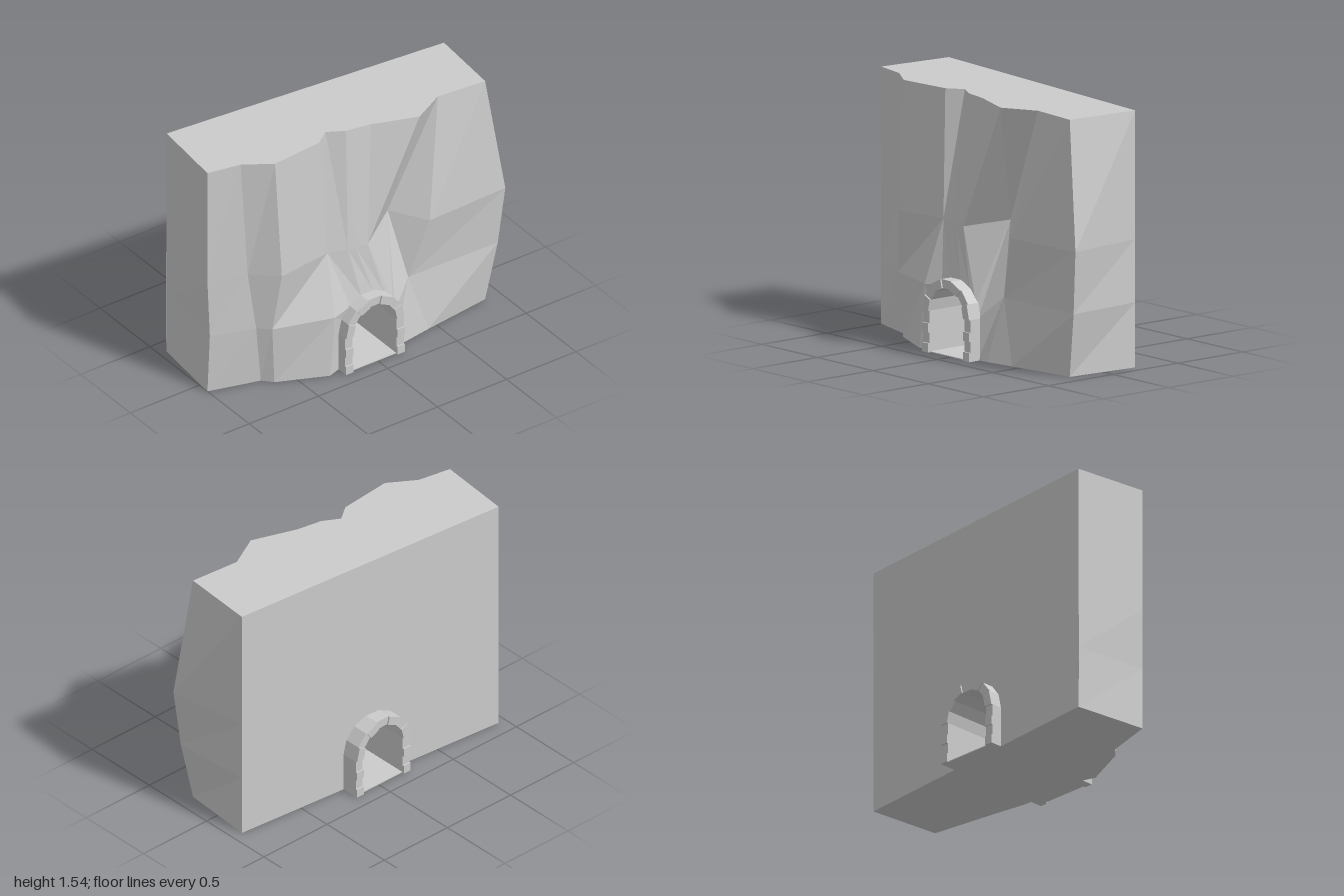
import * as THREE from 'three';

const H = 1.54;
const rockMat = new THREE.MeshStandardMaterial({ color: 0xcccccc, flatShading: true, side: THREE.DoubleSide });
const stoneMat = new THREE.MeshStandardMaterial({ color: 0xcccccc, flatShading: true });

// Arch layout in the z/y plane
const ARCH_Z = 0.027, SPRING = 0.25, OUTER = 0.212, INNER = 0.158, SEGMENTS = 7;
const arcPoint = (r, i) => {
  const a = (i / SEGMENTS) * Math.PI;
  return [ARCH_Z + r * Math.cos(a), SPRING + r * Math.sin(a)];
};
// Whole arch outline from the +z foot over the crown to the -z foot
function archOutline(r) {
  const pts = [[ARCH_Z + r, 0]];
  for (let i = 0; i <= SEGMENTS; i++) pts.push(arcPoint(r, i));
  pts.push([ARCH_Z - r, 0]);
  return pts;
}

// Rock columns from the front corner to the back corner, each listed upwards as [x, y, z]
const col = (...p) => p;
const columns = [
  col([-0.40, 0, 0.95], [-0.395, 0.39, 0.95], [-0.40, 0.77, 0.95], [-0.40, H, 0.95]),
  col([0.08, 0, 1], [0.09, 0.39, 0.99], [0.08, 0.77, 1], [0.08, H, 1]),
  col([0.17, 0, 0.68], [0.18, 0.39, 0.72], [0.15, 0.77, 0.76], [0.12, H, 0.79]),
  col([0.23, 0, 0.625], [0.245, 0.39, 0.65], [0.285, 0.77, 0.61], [0.23, H, 0.62]),
  col([0.365, 0, 0.32], [0.36, 0.39, 0.28], [0.24, 0.77, 0.25], [0.20, H, 0.28]),
  col(null, null, [0.28, 0.77, 0.13], [0.13, H, 0.185]),
  col(null, null, [0.29, 0.77, 0.08], [0.19, H, 0.08]),
  col(null, null, [0.30, 0.77, 0], [0.22, H, -0.08]),
  col([0.33, 0, -0.25], [0.26, 0.39, -0.32], [0.15, 0.83, -0.25], [0.32, H, -0.36]),
  col([0.30, 0, -0.44], [0.26, 0.39, -0.32], [0.31, 0.77, -0.44], [0.21, H, -0.57]),
  col([0.24, 0, -0.89], [0.27, 0.39, -0.96], [0.29, 0.77, -1], [0.24, H, -0.89]),
  col([-0.23, 0, -0.93], [-0.23, 0.39, -0.93], [-0.23, 0.77, -0.93], [-0.23, H, -0.93]),
];
const backX = z => -0.23 - 0.17 * (z + 0.93) / 1.88;

// Faceted front and end faces, with the rock drawn in around the tunnel mouth
function cliffFaces() {
  const pos = [];
  const quad = (a, b, c, d) => pos.push(...a, ...b, ...c, ...a, ...c, ...d);
  for (let j = 0; j < columns.length - 1; j++) {
    const a = columns[j], b = columns[j + 1];
    for (let r = 0; r < 3; r++) {
      if (a[r] && b[r]) quad(a[r], b[r], b[r + 1], a[r + 1]);
    }
  }
  const [l, m, n, o, k] = columns.slice(4, 9);
  const rim = [l[0], l[1], l[1], l[2], m[2], n[2], o[2], k[2], k[1], k[0]];
  const mouth = archOutline(0.2).map(([z, y]) => [0.335, y, z]);
  for (let i = 0; i < rim.length - 1; i++) quad(rim[i], mouth[i], mouth[i + 1], rim[i + 1]);
  const g = new THREE.BufferGeometry();
  g.setAttribute('position', new THREE.Float32BufferAttribute(pos, 3));
  g.computeVertexNormals();
  return g;
}

// Flat back face with an arched doorway cut into it
function cliffBack() {
  const pts = [[0.95, 0], [0.95, H], [-0.93, H], [-0.93, 0], ...archOutline(0.2).reverse()];
  const g = new THREE.ShapeGeometry(new THREE.Shape(pts.map(p => new THREE.Vector2(...p))));
  const p = g.attributes.position;
  for (let i = 0; i < p.count; i++) {
    const z = p.getX(i);
    p.setXYZ(i, backX(z), p.getY(i), z);
  }
  g.computeVertexNormals();
  return g;
}

// Horizontal polygon from [x, z] corners
function flatCap(points, y, down) {
  const sign = down ? 1 : -1;
  const shape = new THREE.Shape(points.map(([x, z]) => new THREE.Vector2(x, sign * z)));
  return new THREE.ShapeGeometry(shape).rotateX(sign * Math.PI / 2).translate(0, y, 0);
}

// One tunnel stone: a z/y outline extruded along x
function stone(outline, halfLength) {
  const shape = new THREE.Shape(outline.map(([z, y]) => new THREE.Vector2(-z, y)));
  return new THREE.ExtrudeGeometry(shape, { depth: halfLength * 2, bevelEnabled: false })
    .translate(0, 0, -halfLength).rotateY(Math.PI / 2);
}

export function createModel() {
  const model = new THREE.Group();
  const add = (parent, name, geometry, material) => {
    const mesh = new THREE.Mesh(geometry, material);
    mesh.name = name;
    parent.add(mesh);
  };

  // Cliff block
  const cliff = new THREE.Group();
  cliff.name = 'cliff';
  model.add(cliff);
  const xz = p => [p[0], p[2]];
  add(cliff, 'cliffFaces', cliffFaces(), rockMat);
  add(cliff, 'cliffBack', cliffBack(), rockMat);
  add(cliff, 'cliffTop', flatCap(columns.map(c => xz(c[3])), H, false), rockMat);
  const zA = ARCH_Z + 0.2, zB = ARCH_Z - 0.2;
  add(cliff, 'cliffBaseFront',
    flatCap([...columns.slice(0, 5).map(c => xz(c[0])), [0.335, zA], [backX(zA), zA]], 0, true), rockMat);
  add(cliff, 'cliffBaseBack',
    flatCap([[backX(zB), zB], [0.335, zB], ...columns.slice(8).map(c => xz(c[0]))], 0, true), rockMat);

  // Tunnel lining of stone blocks
  const arch = new THREE.Group();
  arch.name = 'tunnelArch';
  model.add(arch);
  const long = 0.415, short = 0.405;
  const courses = [0, 0.055, 0.12, 0.175, SPRING];
  for (const side of [-1, 1]) {
    for (let i = 0; i < courses.length - 1; i++) {
      const zi = ARCH_Z + side * INNER, zo = ARCH_Z + side * OUTER;
      const [y0, y1] = [courses[i], courses[i + 1]];
      add(arch, 'jambStone', stone([[zi, y0], [zo, y0], [zo, y1], [zi, y1]], i % 2 ? short : long), stoneMat);
    }
  }
  for (let i = 0; i < SEGMENTS; i++) {
    const outline = [arcPoint(INNER, i), arcPoint(OUTER, i), arcPoint(OUTER, i + 1), arcPoint(INNER, i + 1)];
    add(arch, 'archStone', stone(outline, i % 2 ? short : long), stoneMat);
  }

  // Tunnel floor
  add(model, 'tunnelFloor',
    new THREE.BoxGeometry(0.8, 0.006, INNER * 2).translate(0, 0.003, ARCH_Z), stoneMat);

  return model;
}
